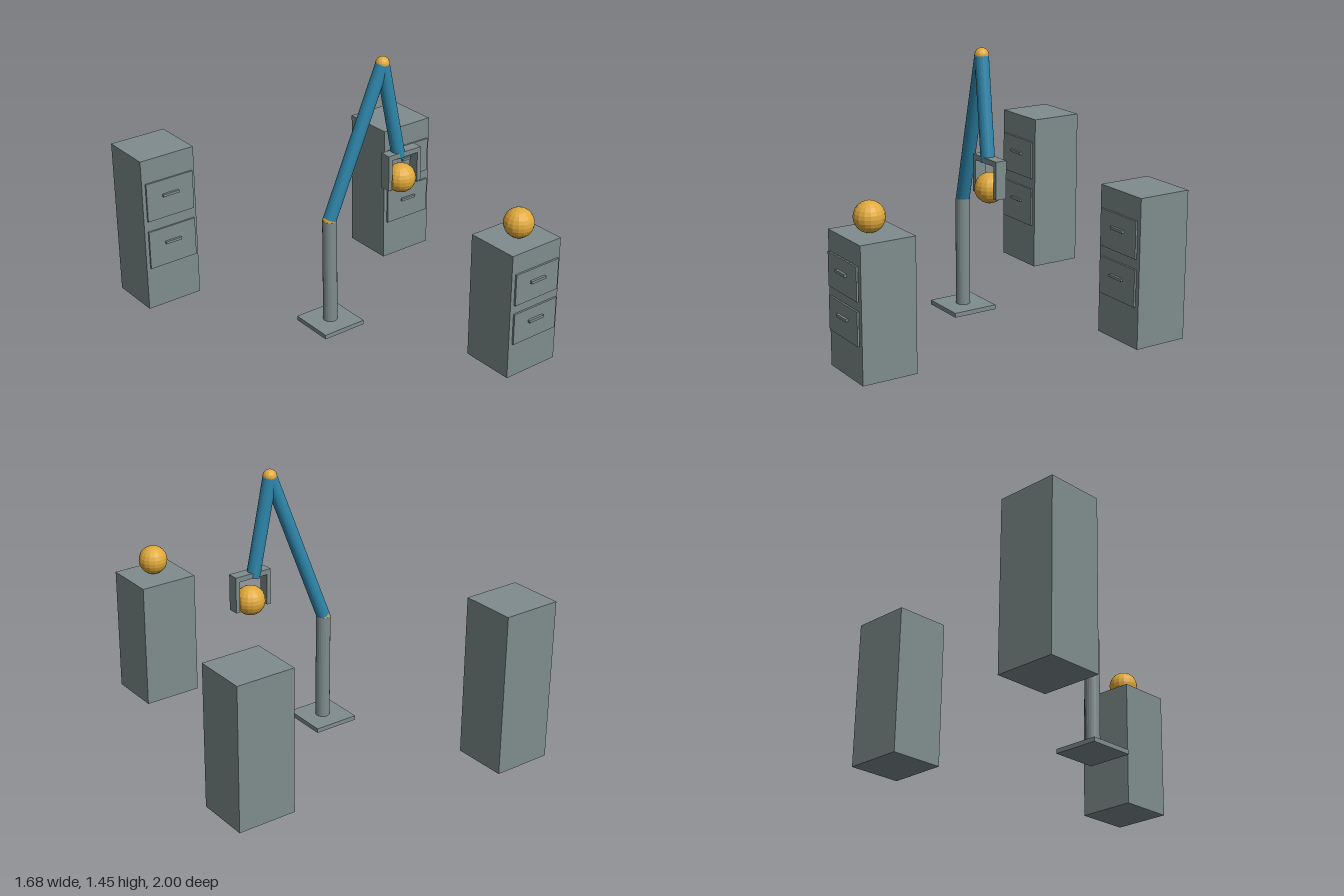
import * as THREE from 'three';

export function createModel() {
  const root = new THREE.Group();
  root.name = 'robotArmWithCabinets';

  const paint = (name, color) => {
    const m = new THREE.MeshStandardMaterial({ color, flatShading: true });
    m.name = name;
    return m;
  };
  const grey = paint('steelGrey', 0x7f8c8d);
  const blue = paint('armBlue', 0x2e86ab);
  const gold = paint('ballGold', 0xe0a93b);

  const add = (parent, name, geometry, material, x, y, z) => {
    const mesh = new THREE.Mesh(geometry, material);
    mesh.name = name;
    mesh.position.set(x, y, z);
    parent.add(mesh);
    return mesh;
  };
  const box = (w, h, d) => new THREE.BoxGeometry(w, h, d);
  const ball = (name, r, p, parent = root) =>
    add(parent, name, new THREE.SphereGeometry(r, 16, 12), gold, p.x, p.y, p.z);

  // Round bar between two points
  const bar = (name, a, b, r, material, parent) => {
    const dir = b.clone().sub(a);
    const mid = a.clone().add(b).multiplyScalar(0.5);
    const mesh = add(parent, name, new THREE.CylinderGeometry(r, r, dir.length(), 20), material, mid.x, mid.y, mid.z);
    mesh.quaternion.setFromUnitVectors(new THREE.Vector3(0, 1, 0), dir.normalize());
  };

  // Filing cabinets: two drawers each, fronts facing +z
  const width = 0.32, depth = 0.293;
  const cabinet = (name, x, front, h) => {
    const g = new THREE.Group();
    g.name = name;
    g.position.set(x, 0, front);
    root.add(g);
    add(g, 'cabinetBody', box(width, h, depth), grey, 0, h / 2, -depth / 2);
    for (const level of [0.405, 0.725]) {
      add(g, 'drawerFront', box(0.283, 0.25 * h, 0.01), grey, 0, level * h, 0.009);
      add(g, 'drawerHandle', box(0.096, 0.014, 0.013), grey, 0, (level + 0.025) * h, 0.0205);
    }
  };
  cabinet('tallCabinet', -0.682, -0.707, 0.868);
  cabinet('middleCabinet', 0.678, -0.393, 0.778);
  cabinet('shortCabinet', 0.362, 0.973, 0.686);

  // Arm: base, column, two links and their joints
  const arm = new THREE.Group();
  arm.name = 'robotArm';
  root.add(arm);
  const foot = new THREE.Vector3(-0.161, 0.024, 0);
  const shoulder = new THREE.Vector3(-0.161, 0.605, 0);
  const elbow = new THREE.Vector3(0.126, 1.415, 0.066);
  const wrist = new THREE.Vector3(0.219, 0.892, 0.088);
  add(arm, 'basePlate', box(0.25, 0.024, 0.25), grey, -0.161, 0.012, 0);
  bar('column', foot, shoulder, 0.038, grey, arm);
  bar('upperArm', shoulder, elbow, 0.036, blue, arm);
  bar('forearm', elbow, wrist, 0.036, blue, arm);
  ball('shoulderJoint', 0.037, shoulder, arm);
  ball('elbowJoint', 0.037, elbow, arm);

  // Gripper: palm and two fingers around the held ball
  const gripper = new THREE.Group();
  gripper.name = 'gripper';
  gripper.position.set(0.236, 0, 0.09);
  arm.add(gripper);
  add(gripper, 'palm', box(0.212, 0.028, 0.06), grey, 0, 0.908, 0);
  for (const side of [-1, 1]) {
    add(gripper, 'finger', box(0.023, 0.166, 0.06), grey, side * 0.0945, 0.811, 0);
  }

  // Balls: one held, one resting on the short cabinet
  ball('heldBall', 0.078, new THREE.Vector3(0.237, 0.765, 0.089));
  ball('restingBall', 0.078, new THREE.Vector3(0.363, 0.765, 0.838));

  return root;
}
